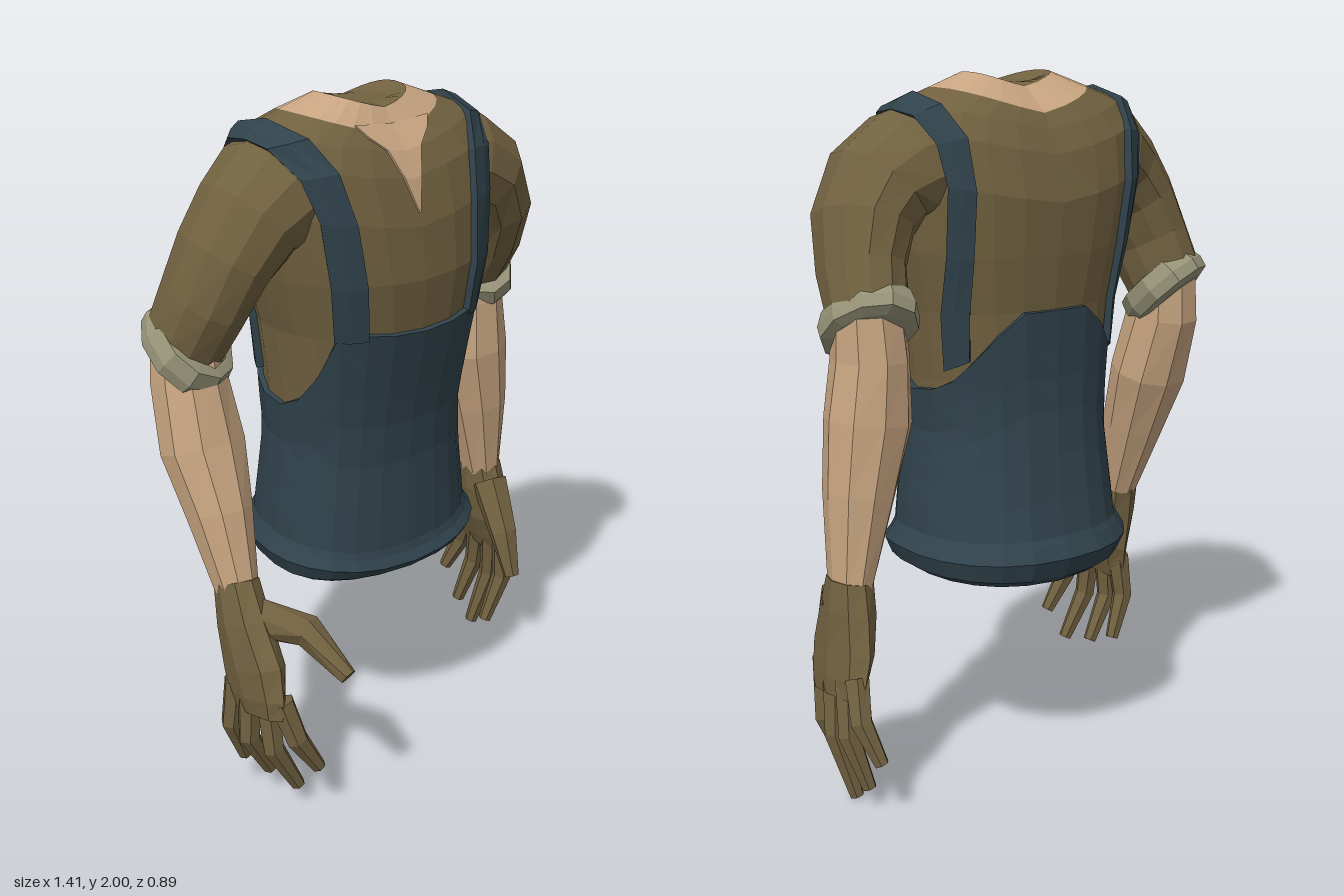
import * as THREE from 'three';

const mat = (name, color) => Object.assign(new THREE.MeshStandardMaterial({ color }), { name });
const V = (x, y, z) => new THREE.Vector3(x, y, z);
const { lerp, clamp } = THREE.MathUtils;

// Faceted skin over a list of closed cross-sections, turned so that it faces outward
function loft(name, material, rows, capStart = true, capEnd = true) {
  const tris = [], n = rows[0].length;
  const mean = (r) => r.reduce((s, p) => s.add(p), V(0, 0, 0)).divideScalar(r.length);
  for (let i = 0; i + 1 < rows.length; i++) {
    for (let j = 0; j < n; j++) {
      const k = (j + 1) % n;
      tris.push([rows[i][j], rows[i][k], rows[i + 1][k]], [rows[i][j], rows[i + 1][k], rows[i + 1][j]]);
    }
  }
  const first = rows[0], last = rows[rows.length - 1];
  for (let j = 0; j < n; j++) {
    const k = (j + 1) % n;
    if (capStart) tris.push([mean(first), first[k], first[j]]);
    if (capEnd) tris.push([mean(last), last[j], last[k]]);
  }
  const mid = mean(rows.flat());
  const volume = tris.reduce((s, [a, b, c]) =>
    s + a.clone().sub(mid).dot(b.clone().sub(mid).cross(c.clone().sub(mid))), 0);
  const points = tris.flatMap(([a, b, c]) => (volume < 0 ? [a, c, b] : [a, b, c]));
  const geometry = new THREE.BufferGeometry().setFromPoints(points);
  geometry.computeVertexNormals();
  const mesh = new THREE.Mesh(geometry, material);
  mesh.name = name;
  return mesh;
}

// Limb through sections [x, y, z, radius across, radius front to back]
function limb(name, material, sections, sides = 9) {
  const at = (i) => V(...sections[clamp(i, 0, sections.length - 1)].slice(0, 3));
  return loft(name, material, sections.map(([, , , ra, rb], i) => {
    const t = at(i + 1).sub(at(i - 1)).normalize();
    const b = V(0, 0, 1).addScaledVector(t, -t.z).normalize();
    const a = b.clone().cross(t);
    return Array.from({ length: sides }, (_, j) => {
      const w = (j / sides) * Math.PI * 2;
      return at(i).addScaledVector(a, Math.cos(w) * ra).addScaledVector(b, Math.sin(w) * rb);
    });
  }));
}

// Torso rings: height at front and back, height at sides, half width, front z, back z
const RINGS = [
  [0.575, 0.59, 0.33, 0.17, -0.40], [0.68, 0.68, 0.33, 0.168, -0.40],
  [0.80, 0.80, 0.312, 0.157, -0.36], [1.00, 1.00, 0.287, 0.146, -0.315],
  [1.15, 1.15, 0.30, 0.17, -0.305], [1.35, 1.35, 0.325, 0.213, -0.305],
  [1.50, 1.52, 0.365, 0.234, -0.32], [1.65, 1.72, 0.395, 0.22, -0.328],
  [1.78, 1.86, 0.405, 0.185, -0.295], [1.85, 1.92, 0.355, 0.15, -0.258],
  [1.89, 1.96, 0.242, 0.115, -0.228], [1.96, 2.0, 0.135, 0.068, -0.14],
];
const POWER = 2.4, SIDES = 24, CZ = -0.05;
const ring = (u) => {
  const i = clamp(Math.floor(u), 0, RINGS.length - 2);
  return RINGS[i].map((v, k) => lerp(v, RINGS[i + 1][k], u - i));
};
const rowAtHeight = (y) => {
  const i = Math.max(RINGS.findIndex((r) => r[0] > y), 1) - 1;
  return i + (y - RINGS[i][0]) / (RINGS[i + 1][0] - RINGS[i][0]);
};

// Point on the torso at row u and angle th (0 = +x, 90 degrees = front), raised by off
function skinPoint(u, th) {
  const [yf, ys, rx, zf, zb] = ring(u);
  const c = Math.cos(th), s = Math.sin(th);
  const y = lerp(yf, ys, Math.abs(c));
  const z = CZ + Math.sign(s) * Math.abs(s) ** (2 / POWER) * (s > 0 ? zf - CZ : CZ - zb);
  const twist = 0.12 * clamp((1.1 - y) / 0.5, 0, 1);
  const lean = 0.02 * clamp((y - 1.4) / 0.4, 0, 1);
  return V(rx * Math.sign(c) * Math.abs(c) ** (2 / POWER) - twist * z - lean, y, z);
}
function torsoPoint(u, th, off = 0) {
  const e = 0.05;
  const du = skinPoint(u + e, th).sub(skinPoint(u - e, th));
  const dt = skinPoint(u, th + e).sub(skinPoint(u, th - e));
  return skinPoint(u, th).addScaledVector(du.cross(dt).normalize(), off);
}
const angleAtX = (u, x) => Math.acos(Math.min(x / ring(u)[2], 1) ** (POWER / 2));
const around = (fn) => Array.from({ length: SIDES }, (_, j) => fn((j / SIDES) * Math.PI * 2));

// Upper edge of the overalls by angle from the side, front and back
const FRONT_EDGE = [1.12, 1.155, 1.235, 1.375, 1.365, 1.355, 1.35];
const BACK_EDGE = [1.12, 1.13, 1.16, 1.22, 1.29, 1.35, 1.35];
function bibHeight(th) {
  const k = Math.round(Math.asin(Math.abs(Math.sin(th))) / (Math.PI / 12));
  return (Math.sin(th) > 0 ? FRONT_EDGE : BACK_EDGE)[k];
}

// Strap edges as [row, x inner, row, x outer], front to shoulder, then shoulder to back
const STRAP_FRONT = [[5, 0.18, 5, 0.257], [6, 0.195, 6, 0.28], [7, 0.212, 7, 0.3],
  [8, 0.24, 7.8, 0.33], [9, 0.285, 8.4, 0.37], [9.36, 0.335, 8.55, 0.405]];
const STRAP_BACK = [[9, 0.31, 8.4, 0.37], [8, 0.28, 7.8, 0.345], [7, 0.265, 7, 0.325],
  [6, 0.255, 6, 0.31], [5, 0.245, 5, 0.295], [4.35, 0.24, 4.2, 0.28]];
function strap(name, material, side) {
  const row = (sign) => ([u1, x1, u2, x2]) => {
    const t1 = sign * angleAtX(u1, x1), t2 = sign * angleAtX(u2, x2);
    const p = (f, off) => {
      const th = lerp(t1, t2, f);
      return torsoPoint(lerp(u1, u2, f), side > 0 ? th : Math.PI - th, off);
    };
    return [p(0, -0.015), p(0, 0.02), p(0.5, 0.022), p(1, 0.02), p(1, -0.015)];
  };
  return loft(name, material, [...STRAP_FRONT.map(row(1)), ...STRAP_BACK.map(row(-1))]);
}

// Limb sections and finger paths for each side
const ARMS = {
  left: {
    sleeve: [[0.26, 1.75, -0.05, 0.18, 0.19], [0.33, 1.735, -0.045, 0.175, 0.19], [0.415, 1.69, -0.04, 0.155, 0.175],
      [0.478, 1.6, -0.06, 0.135, 0.165], [0.512, 1.48, -0.105, 0.115, 0.145], [0.528, 1.37, -0.165, 0.11, 0.125]],
    cuff: [0.528, 1.35, -0.165], cuffSize: 0.115,
    forearm: [[0.53, 1.39, -0.165, 0.1, 0.1], [0.525, 1.25, -0.165, 0.108, 0.118], [0.535, 1.08, -0.165, 0.125, 0.122],
      [0.572, 0.88, -0.17, 0.1, 0.108], [0.613, 0.62, -0.18, 0.056, 0.076]],
    palm: [[0.613, 0.645, -0.18, 0.06, 0.079], [0.62, 0.56, -0.18, 0.064, 0.105],
      [0.635, 0.45, -0.178, 0.056, 0.135], [0.655, 0.37, -0.186, 0.044, 0.132], [0.665, 0.32, -0.19, 0.032, 0.122]],
    fingers: [[[0.648, 0.39, -0.09], [0.655, 0.22, -0.1], [0.595, 0.065, -0.115]],
      [[0.655, 0.39, -0.155], [0.672, 0.2, -0.18], [0.625, 0.01, -0.215]],
      [[0.655, 0.39, -0.22], [0.672, 0.22, -0.255], [0.63, 0.065, -0.29]],
      [[0.655, 0.39, -0.275], [0.67, 0.28, -0.32], [0.635, 0.165, -0.365]]],
    thumb: [[0.612, 0.58, -0.13], [0.592, 0.43, -0.035], [0.585, 0.29, 0.02]],
  },
  right: {
    sleeve: [[-0.28, 1.75, -0.05, 0.18, 0.19], [-0.35, 1.735, -0.045, 0.175, 0.19], [-0.425, 1.69, -0.035, 0.15, 0.172],
      [-0.495, 1.6, -0.045, 0.132, 0.16], [-0.545, 1.48, -0.075, 0.12, 0.145], [-0.575, 1.36, -0.125, 0.115, 0.125]],
    cuff: [-0.575, 1.335, -0.125], cuffSize: 0.126,
    forearm: [[-0.58, 1.38, -0.12, 0.1, 0.1], [-0.585, 1.25, -0.11, 0.108, 0.115], [-0.58, 1.06, -0.06, 0.125, 0.115],
      [-0.58, 0.88, 0.01, 0.094, 0.102], [-0.582, 0.65, 0.09, 0.056, 0.072]],
    palm: [[-0.582, 0.69, 0.085, 0.06, 0.076], [-0.592, 0.58, 0.13, 0.064, 0.1],
      [-0.595, 0.46, 0.18, 0.062, 0.128], [-0.602, 0.38, 0.198, 0.048, 0.128], [-0.605, 0.33, 0.205, 0.034, 0.118]],
    fingers: [[[-0.585, 0.39, 0.29], [-0.555, 0.27, 0.322], [-0.485, 0.155, 0.33]],
      [[-0.595, 0.39, 0.235], [-0.59, 0.22, 0.255], [-0.51, 0.07, 0.262]],
      [[-0.605, 0.39, 0.17], [-0.615, 0.23, 0.17], [-0.535, 0.085, 0.16]],
      [[-0.61, 0.39, 0.11], [-0.625, 0.25, 0.1], [-0.57, 0.11, 0.085]]],
    thumb: [[-0.575, 0.6, 0.15], [-0.49, 0.585, 0.295], [-0.455, 0.485, 0.43]],
  },
};

export function createModel() {
  const olive = mat('olive cloth', 0x716140);
  const skin = mat('skin', 0xc8a581);
  const navy = mat('navy denim', 0x30424b);
  const cuffCloth = mat('grey cuff', 0x969378);
  const model = new THREE.Group();
  model.name = 'workerTorso';

  // Shirt, bare neckline and closed neck
  const torsoRow = (u) => around((th) => torsoPoint(u, th));
  model.add(loft('shirt', olive, [3, 4, 5, 6, 7, 8, 9, 10].map(torsoRow), false, false));
  model.add(loft('neckline', skin, [torsoRow(10), around((th) => skinPoint(11, th))], false, false));
  const neckEdge = around((th) => skinPoint(11, th));
  model.add(loft('neckCap', olive, [
    around((th) => skinPoint(10, th).add(V(0, -0.05, 0))), neckEdge,
    neckEdge.map((p) => V(p.x * 0.6, 1.972, lerp(CZ, p.z, 0.6))),
  ]));

  // Open collar running to a point on the chest
  const collar = [[10.05, 0.13], [9.6, 0.105], [9, 0.06], [8, 0.03], [7.3, 0.002]];
  model.add(loft('collarOpening', skin, collar.map(([u, w]) => {
    const a = angleAtX(u, w), front = Math.PI / 2;
    return [torsoPoint(u, Math.PI - a, -0.01), torsoPoint(u, Math.PI - a, 0.006), torsoPoint(u, front, 0.007),
      torsoPoint(u, a, 0.006), torsoPoint(u, a, -0.01)];
  })));

  // Overalls with a flared hem dipping at the front, shaped upper edge and straps
  const hem = [[0.58, -0.005, 0], [0.60, 0.022, 0.005], [0.658, 0.042, 0.04], [0.69, 0.022, 0.045], [0.71, 0.014, 0.04]]
    .map(([y, off, dip]) => around((th) =>
      torsoPoint(rowAtHeight(y - dip * Math.max(Math.sin(th), 0) ** 2), th, off)));
  const bib = [0.15, 0.35, 0.55, 0.7, 0.85, 1].map((f) =>
    around((th) => torsoPoint(rowAtHeight(lerp(0.71, bibHeight(th), f)), th, 0.017)));
  const lip = around((th) => torsoPoint(rowAtHeight(bibHeight(th)), th, -0.01));
  model.add(loft('overalls', navy, [...hem, ...bib, lip], true, false));
  model.add(strap('leftStrap', navy, 1), strap('rightStrap', navy, -1));

  // Arms with rolled cuffs and gloved hands
  for (const [side, arm] of Object.entries(ARMS)) {
    const group = new THREE.Group();
    group.name = side + 'Arm';
    const axis = V(side === 'left' ? 0.33 : -0.33, -0.75, -0.62).normalize();
    const cuff = [[-0.05, 0.8], [-0.045, 1], [0, 1.1], [0.035, 1.05], [0.045, 0.8]].map(([d, k]) => [
      ...V(...arm.cuff).addScaledVector(axis, d).toArray(), arm.cuffSize * k, 0.146 * k]);
    const digit = (name, path, radii) =>
      limb(name, olive, path.map((p, i) => [...p, radii[i], radii[i]]), 6);
    group.add(limb('sleeve', olive, arm.sleeve, 12), limb('cuff', cuffCloth, cuff, 10),
      limb('forearm', skin, arm.forearm, 9), limb('palm', olive, arm.palm, 8));
    arm.fingers.forEach((path) => group.add(digit('finger', path, [0.038, 0.033, 0.021])));
    group.add(digit('thumb', arm.thumb, [0.062, 0.047, 0.026]));
    model.add(group);
  }
  return model;
}
